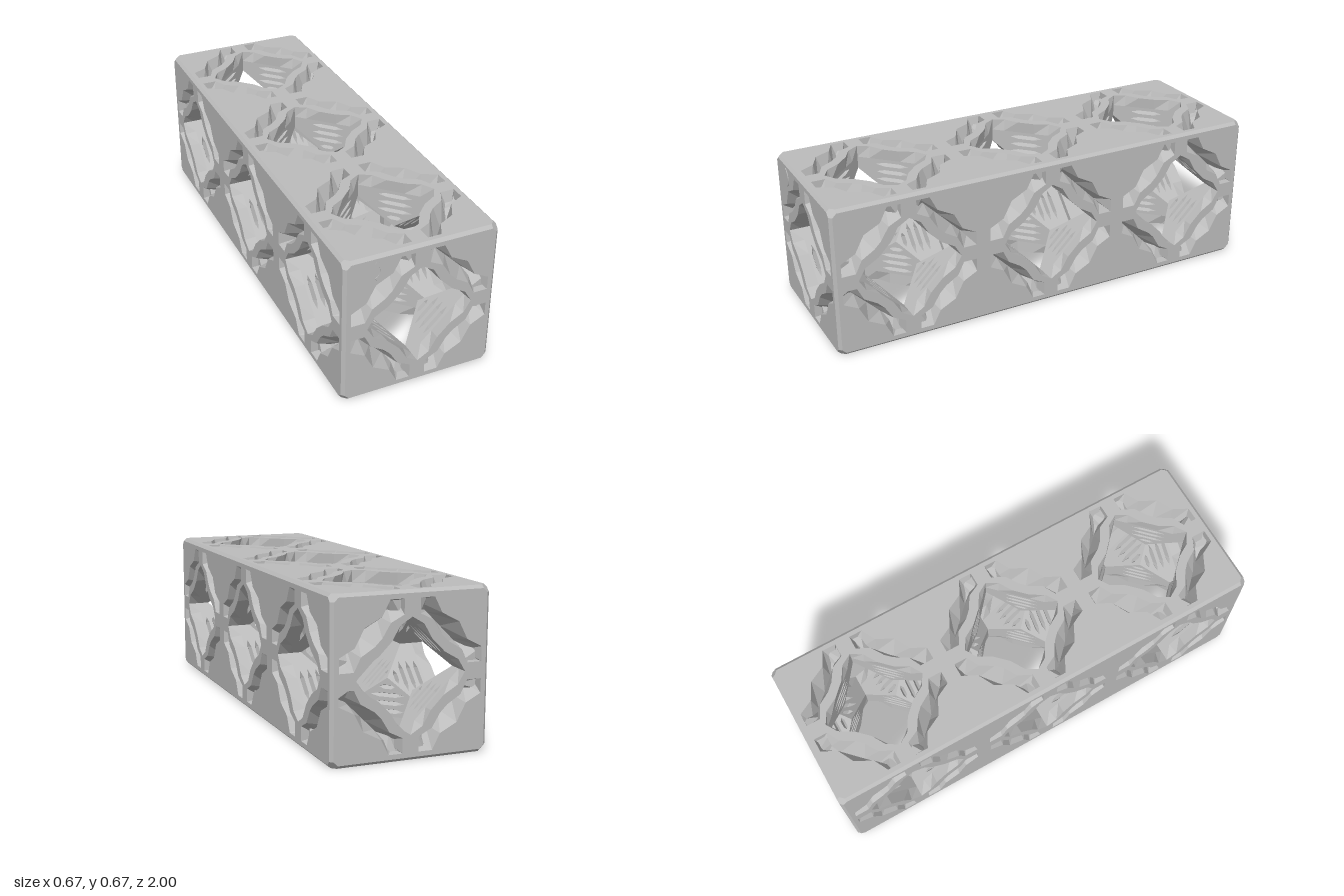
import * as THREE from 'three';
import { mergeGeometries } from 'three/addons/utils/BufferGeometryUtils.js';

const H = 1 / 3;          // half the width of one cubic cell
const A = 0.23;           // half diagonal of the diamond tunnels
const CH = 0.013, CUT = 0.03; // edge chamfer and corner cut
const LIP = 0.05;         // depth of the wavy lip

const V3 = (x, y, z) => new THREE.Vector3(x, y, z);
const V2 = ([x, y]) => new THREE.Vector2(x, y);
const quarter = ([x, y], n) => {
  for (let i = 0; i < n; i++) [x, y] = [-y, x];
  return [x, y];
};

// Flat-shaded geometry from convex polygons
function polygons(list) {
  const pts = [];
  for (const p of list) {
    for (let i = 1; i < p.length - 1; i++) pts.push(p[0], p[i], p[i + 1]);
  }
  const g = new THREE.BufferGeometry().setFromPoints(pts);
  g.computeVertexNormals();
  return g;
}

// Strip of walls running from a counter-clockwise outline down to a second loop
function pocket(top, bottom) {
  return polygons(top.map((p, i) => {
    const j = (i + 1) % top.length;
    return [p, top[j], bottom[j], bottom[i]];
  }));
}

// Moves a first-quadrant point onto the diagonal x + y = sum
const toDiagonal = ([x, y], sum) => {
  const e = (x + y - sum) / 2;
  return [x - e, y - e];
};

const slot = [[0.24, 0.034], [0.301, 0.034], [0.301, 0.093], [0.237, 0.126], [0.2, 0.198], [0.126, 0.237],
  [0.093, 0.301], [0.034, 0.301], [0.034, 0.24], [0.09, 0.212], [0.125, 0.155], [0.155, 0.125], [0.212, 0.09]];
const wave = [[0.23, 0], [0.2, 0.05], [0.14, 0.085], [0.085, 0.14], [0.05, 0.2]];
const quarters = [0, 1, 2, 3];
const waveLoop = quarters.flatMap((n) => wave.map((p) => quarter(p, n)));
const diamondLoop = quarters.flatMap((n) => wave.map((p) => quarter(toDiagonal(p, A), n)));

// Flat outer face with the openings of the given cells cut out
function skin(U, V, centres) {
  const shape = new THREE.Shape([[U - CH, -V + CUT], [U - CH, V - CUT], [U - CUT, V - CH], [-U + CUT, V - CH],
    [-U + CH, V - CUT], [-U + CH, -V + CUT], [-U + CUT, -V + CH], [U - CUT, -V + CH]].map(V2));
  for (const [cx, cy] of centres) {
    const hole = (pts) => shape.holes.push(new THREE.Path(pts.map(([x, y]) => V2([x + cx, y + cy]))));
    hole(waveLoop);
    for (const n of quarters) hole(slot.map((p) => quarter(p, n)));
  }
  return new THREE.ShapeGeometry(shape);
}

// Wavy rim blending into the diamond tunnel
const lipGeometry = () => pocket(
  waveLoop.map(([x, y]) => V3(x, y, H)),
  diamondLoop.map(([x, y]) => V3(x, y, H - LIP)));

// Four V-bottomed wavy grooves around an opening
const grooveGeometry = () => mergeGeometries(quarters.map((n) => pocket(
  slot.map((p) => V3(...quarter(p, n), H)),
  slot.map((p) => V3(...quarter(toDiagonal(p, 0.335), n), H - 0.1)))));

// Four tunnel walls, each with lens-shaped louvres
function wallGeometry(top) {
  const w = A / Math.SQRT2;
  const shape = new THREE.Shape([[0, A / 2], [w, A], [w, top], [-w, top], [-w, A]].map(V2));
  const parts = [];
  for (const t of [0.155, 0.19, 0.225, 0.26]) {
    const L = Math.min(0.075, (t - A / 2) * Math.SQRT2 - 0.022);
    const lens = [[L, 0], [L * 0.5, 0.009], [-L * 0.5, 0.009], [-L, 0], [-L * 0.5, -0.009], [L * 0.5, -0.009]];
    shape.holes.push(new THREE.Path(lens.map(([x, y]) => V2([x, y + t]))));
    parts.push(pocket(lens.map(([x, y]) => V3(x, y + t, 0)), lens.map(([x]) => V3(x * 0.8, t, -0.03))));
  }
  const plate = new THREE.ShapeGeometry(shape).toNonIndexed();
  plate.deleteAttribute('uv');
  const wall = mergeGeometries([plate, ...parts]);
  const r = Math.SQRT1_2;
  wall.applyMatrix4(new THREE.Matrix4()
    .makeBasis(V3(r, -r, 0), V3(0, 0, 1), V3(-r, -r, 0)).setPosition(A / 2, A / 2, 0));
  return mergeGeometries(quarters.map((n) => wall.clone().rotateZ(n * Math.PI / 2)));
}

// Chamfered long edges and cut corners of the block
function chamferGeometry() {
  const E = [H, H, 1], faces = [], signs = [-1, 1];
  const add = (pts) => {
    const n = pts[1].clone().sub(pts[0]).cross(pts[2].clone().sub(pts[0]));
    faces.push(n.dot(pts[0]) > 0 ? pts : pts.reverse());
  };
  for (let k = 0; k < 3; k++) {
    const i = (k + 1) % 3, j = (k + 2) % 3;
    for (const si of signs) for (const sj of signs) {
      add([[0, CH, -1], [0, CH, 1], [CH, 0, 1], [CH, 0, -1]].map(([a, b, sk]) => {
        const p = [];
        p[i] = si * (E[i] - a);
        p[j] = sj * (E[j] - b);
        p[k] = sk * (E[k] - CUT);
        return V3(...p);
      }));
    }
  }
  const ring = [[0, CH, CUT], [CH, 0, CUT], [CUT, 0, CH], [CUT, CH, 0], [CH, CUT, 0], [0, CUT, CH]];
  for (const sx of signs) for (const sy of signs) for (const sz of signs) {
    add(ring.map(([a, b, c]) => V3(sx * (H - a), sy * (H - b), sz * (1 - c))));
  }
  return polygons(faces);
}

export function createModel() {
  const model = new THREE.Group();
  model.name = 'perforatedBlock';
  const grey = new THREE.MeshStandardMaterial({ color: 0xbcbcbc });
  grey.name = 'grey';
  grey.side = THREE.DoubleSide;

  const body = new THREE.Group();
  body.name = 'body';
  body.position.y = H;
  model.add(body);
  const mesh = (geometry, name, parent) => {
    const m = new THREE.Mesh(geometry, grey);
    m.name = name;
    parent.add(m);
    return m;
  };

  mesh(chamferGeometry(), 'chamferedEdges', body);
  const cells = [-2 * H, 0, 2 * H];
  const lip = lipGeometry(), grooves = grooveGeometry();
  const walls = wallGeometry(H - LIP), innerWalls = wallGeometry(H);
  const endSkin = skin(H, H, [[0, 0]]);
  const wideSkin = skin(1, H, cells.map((c) => [c, 0]));
  const tallSkin = skin(H, 1, cells.map((c) => [0, c]));
  const q = Math.PI / 2;
  const sides = [
    ['front', 0, 0, endSkin, 1], ['back', 0, 2 * q, endSkin, 1],
    ['left', 0, q, wideSkin, H], ['right', 0, -q, wideSkin, H],
    ['top', -q, 0, tallSkin, H], ['bottom', q, 0, tallSkin, H],
  ];

  for (const [name, rx, ry, skinGeometry, distance] of sides) {
    // Outer skin
    const side = new THREE.Group();
    side.name = name + 'Side';
    side.rotation.set(rx, ry, 0);
    body.add(side);
    mesh(skinGeometry, name + 'Face', side).position.z = distance;

    // Openings of each cell on this side
    for (const c of cells) {
      const opening = new THREE.Group();
      opening.name = name + 'Opening';
      opening.rotation.set(rx, ry, 0);
      opening.position.z = c;
      body.add(opening);
      const inner = (name === 'front' && c < H) || (name === 'back' && c > -H);
      mesh(inner ? innerWalls : walls, 'louvredWalls', opening);
      if (inner) continue;
      mesh(lip, 'wavyLip', opening);
      mesh(grooves, 'wavyGrooves', opening);
    }
  }

  // Narrower collars between neighbouring cells
  const collar = new THREE.Shape([[A, 0], [0, A], [-A, 0], [0, -A]].map(V2));
  const b = 0.195, x = 0.174;
  collar.holes.push(new THREE.Path([[x, x - b], [x, b - x], [0, b], [-x, b - x], [-x, x - b], [0, -b]].map(V2)));
  const collarGeometry = new THREE.ExtrudeGeometry(collar, { depth: 0.04, bevelEnabled: false });
  for (const z of [-H, H]) mesh(collarGeometry, 'collar', body).position.z = z - 0.02;

  // Small curved mark on the front
  const arc = new THREE.Shape();
  arc.absarc(0, 0, 0.048, -1.11, 1.11, false);
  arc.absarc(0, 0, 0.037, 1.11, -1.11, true);
  const arcGeometry = new THREE.ExtrudeGeometry(arc, { depth: 0.003, bevelEnabled: false });
  mesh(arcGeometry, 'curvedMark', body).position.set(-0.221, 0.6 - H, 1);

  return model;
}
